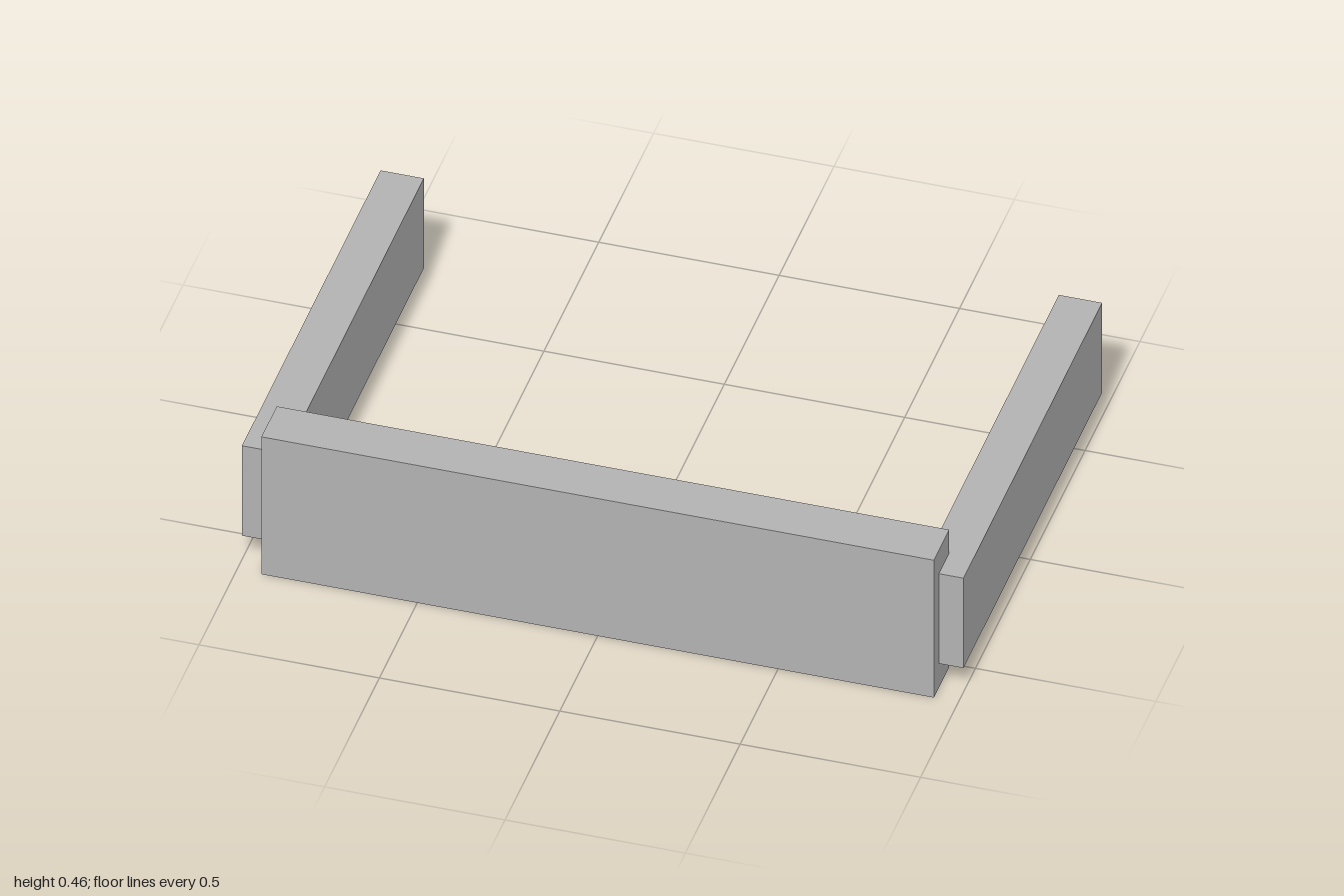
import * as THREE from 'three';

export function createModel() {
  const group = new THREE.Group();
  const grey = new THREE.MeshStandardMaterial({ color: 0xb2b2b2 });
  grey.name = 'plain grey';

  // Box given by its minimum and maximum corners
  const addBox = (name, min, max) => {
    const [w, h, d] = max.map((v, i) => v - min[i]);
    const mesh = new THREE.Mesh(new THREE.BoxGeometry(w, h, d), grey);
    mesh.position.set(min[0] + w / 2, min[1] + h / 2, min[2] + d / 2);
    mesh.name = name;
    group.add(mesh);
  };

  // Tall beam across the front
  addBox('frontBeam', [-0.932, 0, 0.515], [0.932, 0.457, 0.655]);

  // Side arms running back, let partly into the beam
  addBox('leftArm', [0.88, 0.08, -0.655], [1, 0.379, 0.609]);
  addBox('rightArm', [-1, 0.08, -0.655], [-0.88, 0.379, 0.609]);

  return group;
}
